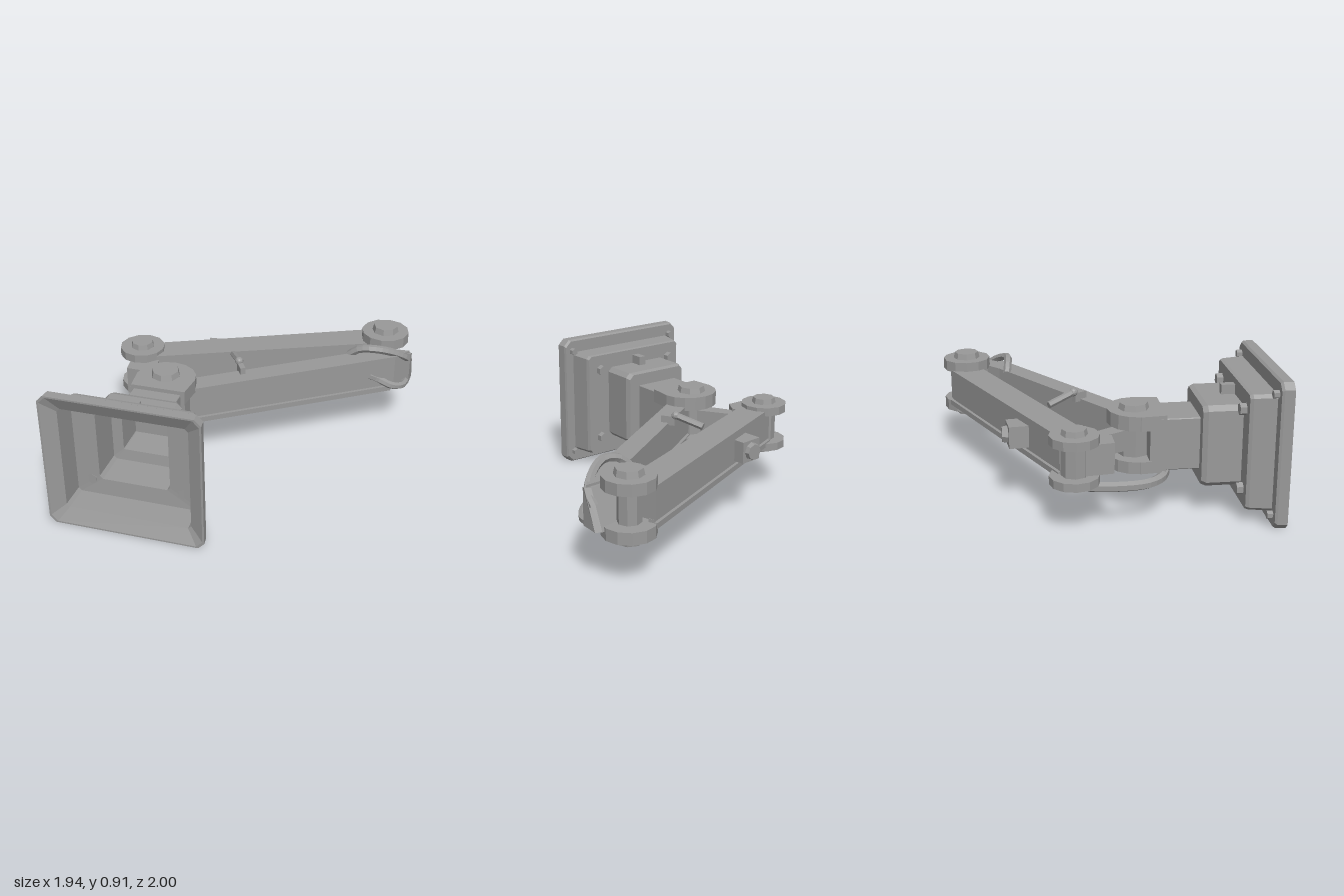
import * as THREE from 'three';

const mat = new THREE.MeshStandardMaterial({ color: 0x999999, flatShading: true });
const V = (x, y, z) => new THREE.Vector3(x, y, z);

export function createModel() {
  const root = new THREE.Group();

  const add = (geo, name, pos) => {
    const mesh = new THREE.Mesh(geo, mat);
    mesh.name = name;
    if (pos) mesh.position.copy(pos);
    root.add(mesh);
    return mesh;
  };
  const box = (name, w, h, d, x, y, z, turn = 0) => {
    const m = add(new THREE.BoxGeometry(w, h, d), name, V(x, y, z));
    m.rotation.y = turn;
    return m;
  };
  // flat plate: outline given as [x, z], extruded from y0 to y1
  const slab = (name, outline, y0, y1) => {
    const shape = new THREE.Shape(outline.map(([x, z]) => new THREE.Vector2(x, -z)));
    const geo = new THREE.ExtrudeGeometry(shape, { depth: y1 - y0, bevelEnabled: false });
    geo.rotateX(-Math.PI / 2);
    return add(geo, name, V(0, y0, 0));
  };
  const post = (name, x, z, r, y0, y1, sides, rTop = r) =>
    add(new THREE.CylinderGeometry(rTop, r, y1 - y0, sides), name, V(x, (y0 + y1) / 2, z));
  const cable = (name, points, r) =>
    add(new THREE.TubeGeometry(new THREE.CatmullRomCurve3(points), 14, r, 6), name);
  const rod = (name, a, b, r) => {
    const m = add(new THREE.CylinderGeometry(r, r, a.distanceTo(b), 6), name, a.clone().lerp(b, 0.5));
    m.quaternion.setFromUnitVectors(V(0, 1, 0), b.clone().sub(a).normalize());
    return m;
  };

  // Hollow stepped base: rectangular rings [centre x, half width, half height, corner cut, z],
  // from the neck down the outside, over the rim and up the inside
  const rings = [
    [-0.495, 0.157, 0.163, 0.005, 0.31], [-0.495, 0.157, 0.163, 0.005, 0.53],
    [-0.487, 0.23, 0.245, 0.03, 0.53], [-0.487, 0.245, 0.255, 0.03, 0.56],
    [-0.487, 0.245, 0.255, 0.03, 0.77], [-0.467, 0.39, 0.355, 0.02, 0.77],
    [-0.467, 0.4, 0.36, 0.02, 0.79], [-0.467, 0.42, 0.365, 0.02, 0.925],
    [-0.473, 0.485, 0.445, 0.04, 0.925], [-0.473, 0.492, 0.455, 0.04, 0.94],
    [-0.473, 0.499, 0.455, 0.04, 1], [-0.473, 0.487, 0.445, 0.04, 1],
    [-0.47, 0.402, 0.355, 0.02, 0.955], [-0.47, 0.396, 0.35, 0.02, 0.785],
    [-0.49, 0.23, 0.24, 0.02, 0.775], [-0.49, 0.226, 0.236, 0.02, 0.55],
    [-0.495, 0.155, 0.162, 0.005, 0.54], [-0.495, 0.152, 0.158, 0.005, 0.335],
  ];
  const pos = [], idx = [];
  rings.forEach(([cx, a, b, c, z]) => {
    [[a, b - c], [a - c, b], [c - a, b], [-a, b - c], [-a, c - b], [c - a, -b], [a - c, -b], [a, c - b]]
      .forEach(([x, y]) => pos.push(cx + x, 0.456 + y, z));
  });
  for (let r = 0; r < rings.length - 1; r++) {
    for (let i = 0; i < 8; i++) {
      const p = r * 8 + i, q = r * 8 + (i + 1) % 8;
      idx.push(p, q, q + 8, p, q + 8, p + 8);
    }
  }
  const last = (rings.length - 1) * 8;
  for (let i = 1; i < 7; i++) idx.push(0, i + 1, i, last, last + i, last + i + 1);
  const baseGeo = new THREE.BufferGeometry();
  baseGeo.setAttribute('position', new THREE.Float32BufferAttribute(pos, 3));
  baseGeo.setIndex(idx);
  const flatBase = baseGeo.toNonIndexed();
  flatBase.computeVertexNormals();
  add(flatBase, 'base');

  // Base bolts and lugs
  for (const sx of [-1, 1]) {
    for (const sy of [-1, 1]) {
      const plateBolt = add(new THREE.CylinderGeometry(0.025, 0.025, 0.04, 6), 'plateBolt',
        V(-0.47 + sx * 0.43, 0.456 + sy * 0.375, 0.91));
      const stepBolt = add(new THREE.CylinderGeometry(0.037, 0.037, 0.05, 6), 'stepBolt',
        V(-0.474 + sx * 0.3, 0.456 + sy * 0.25, 0.755));
      plateBolt.rotation.x = stepBolt.rotation.x = Math.PI / 2;
    }
  }
  for (const sy of [-1, 1]) box('baseLug', 0.05, 0.06, 0.09, -0.48, 0.461 + sy * 0.28, 0.73);

  // Shoulder clevis: two rounded cheeks on a block
  const cheek = [[-0.665, 0.325], [-0.68, 0.17]];
  for (let i = 0; i <= 8; i++) {
    const t = Math.PI * (1 - i / 8);
    cheek.push([-0.485 + 0.192 * Math.cos(t), 0.165 - 0.178 * Math.sin(t)]);
  }
  cheek.push([-0.31, 0.325]);
  slab('shoulderCheek', cheek, 0.555, 0.645);
  slab('shoulderCheek', cheek, 0.285, 0.36);
  box('shoulderBlock', 0.36, 0.33, 0.1, -0.49, 0.46, 0.275);

  // Joint: pin, two discs and faceted bolt heads
  const joint = (name, x, z, r, pin, bolt, [b0, d0, d1, d2, d3, b1]) => {
    post(name + 'Pin', x, z, pin, d0, d3, 8);
    if (r > 0) {
      post(name + 'Disc', x, z, r, d0, d1, 12);
      post(name + 'Disc', x, z, r, d2, d3, 12);
    }
    post(name + 'Bolt', x, z, bolt, d3, b1, 8, bolt * 0.9);
    post(name + 'Bolt', x, z, bolt * 0.9, b0, d0, 8, bolt);
  };
  joint('shoulder', -0.495, 0.15, 0, 0.1, 0.095, [0.25, 0.285, 0.36, 0.555, 0.645, 0.682]);
  joint('rear', -0.803, -0.242, 0.15, 0.08, 0.08, [0.27, 0.303, 0.355, 0.55, 0.605, 0.64]);
  joint('elbow', 0.757, -0.843, 0.16, 0.072, 0.09, [0.24, 0.285, 0.36, 0.57, 0.642, 0.682]);

  // Arms: solid beam with two lip rails below, leaving a channel underneath
  const arm = (name, outline, [a0, a1], [b0, b1]) => {
    slab(name, outline, 0.375, 0.58);
    const rail = (p, q, s) => {
      const dx = q[0] - p[0], dz = q[1] - p[1], l = Math.hypot(dx, dz);
      const nx = -dz / l * s, nz = dx / l * s;
      const shift = (c, d) => [c[0] + nx * d, c[1] + nz * d];
      slab(name + 'Rail', [shift(p, -0.012), shift(q, -0.012), shift(q, 0.045), shift(p, 0.045)], 0.33, 0.365);
      slab(name + 'Web', [shift(p, 0.008), shift(q, 0.008), shift(q, 0.045), shift(p, 0.045)], 0.36, 0.38);
    };
    rail(a0, a1, 1);
    rail(b0, b1, -1);
  };
  arm('upperArm', [[-0.78, -0.325], [0.66, -0.955], [0.72, -0.76], [-0.73, -0.14]],
    [[-0.78, -0.325], [0.66, -0.955]], [[-0.73, -0.14], [0.72, -0.76]]);
  arm('lowerArm', [[-0.45, 0.106], [0.65, -0.62], [0.74, -0.7], [0.95, -0.71], [0.87, -0.6], [-0.33, 0.19]],
    [[-0.45, 0.106], [0.65, -0.62]], [[-0.33, 0.19], [0.85, -0.585]]);

  // Solid arm end, sloping back from its lower edge to the elbow pin
  const end = slab('armEnd', [[0.74, -0.8], [0.93, -0.83], [0.965, -0.81], [0.96, -0.69], [0.74, -0.69]], 0.335, 0.565);
  const p = end.geometry.attributes.position;
  for (let i = 0; i < p.count; i++) {
    if (p.getY(i) > 0.1 && p.getZ(i) < -0.75) p.setZ(i, p.getZ(i) + 0.1);
  }
  end.geometry.computeVertexNormals();

  // Link between rear joint and shoulder
  slab('linkBlock', [[-0.855, -0.2], [-0.83, -0.01], [-0.7, -0.01], [-0.65, -0.1], [-0.67, -0.22]], 0.36, 0.55);
  slab('linkBar', [[-0.72, -0.17], [-0.63, -0.18], [-0.46, 0.08], [-0.56, 0.12]], 0.4, 0.53);

  // Knob box on the outer side of the upper arm
  box('knobBox', 0.15, 0.14, 0.13, -0.355, 0.46, -0.545, 0.1);
  const knobBolt = add(new THREE.CylinderGeometry(0.05, 0.06, 0.045, 8), 'knobBolt', V(-0.36, 0.46, -0.62));
  knobBolt.rotation.x = -Math.PI / 2;

  // Small lever rod with ball on top of the lower arm
  box('leverPost', 0.035, 0.06, 0.09, -0.075, 0.595, -0.135, 0.55);
  add(new THREE.IcosahedronGeometry(0.028, 1), 'leverBall', V(-0.1, 0.63, -0.175));
  rod('leverRod', V(-0.1, 0.63, -0.175), V(-0.19, 0.58, -0.34), 0.022);

  // Cables
  cable('upperElbowCable', [V(0.56, 0.57, -0.57), V(0.63, 0.625, -0.56), V(0.73, 0.64, -0.56),
    V(0.85, 0.6, -0.62), V(0.93, 0.53, -0.7), V(0.94, 0.47, -0.77)], 0.027);
  cable('lowerElbowCable', [V(0.71, 0.46, -0.51), V(0.77, 0.42, -0.55), V(0.86, 0.38, -0.56),
    V(0.925, 0.355, -0.63), V(0.94, 0.36, -0.75)], 0.025);
  cable('bottomCable', [V(-0.6, 0.268, 0.33), V(-0.7, 0.264, 0.285), V(-0.775, 0.262, 0.19),
    V(-0.805, 0.265, 0.0), V(-0.81, 0.28, -0.2)], 0.032);

  return root;
}
